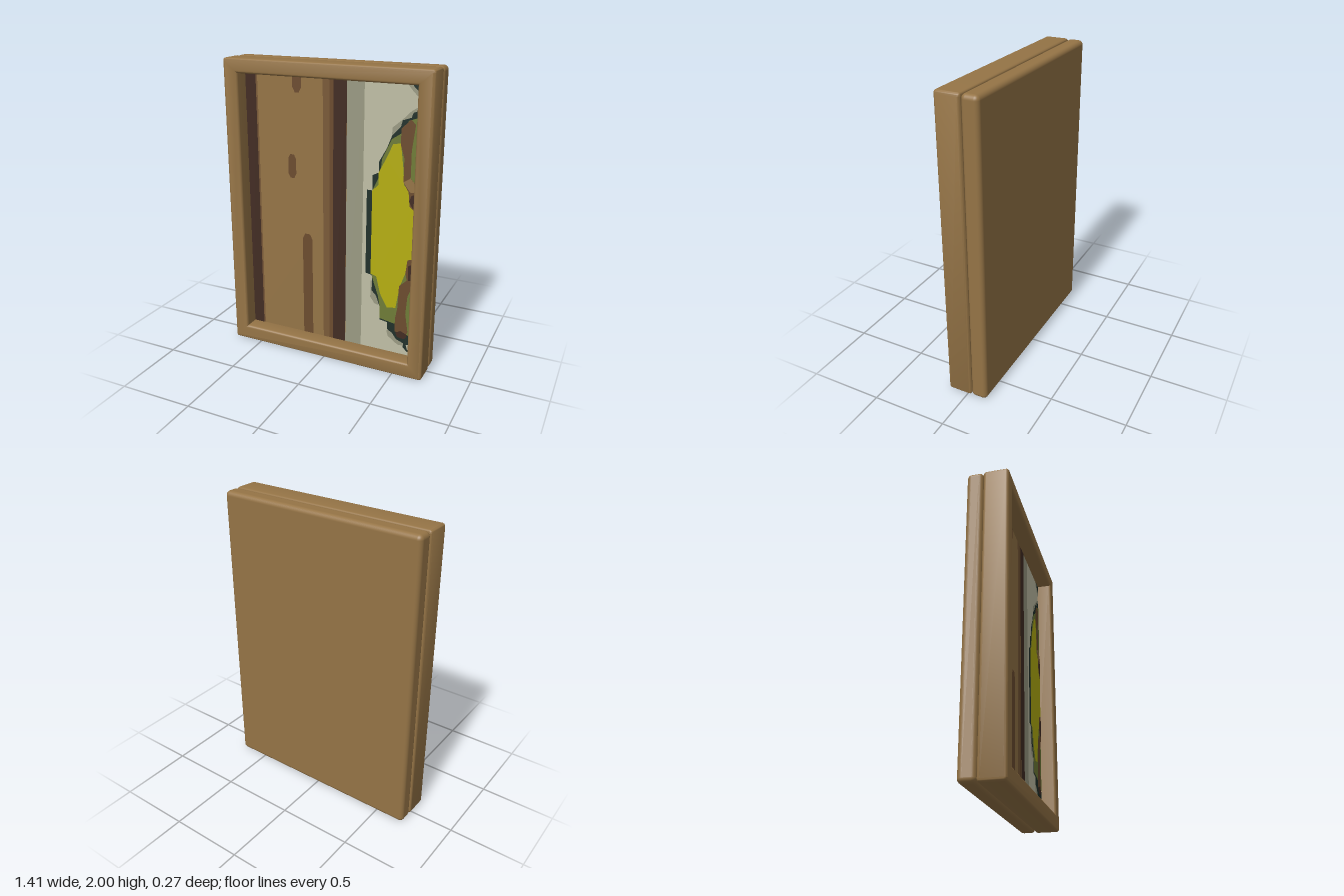
import * as THREE from 'three';
import { toCreasedNormals } from 'three/addons/utils/BufferGeometryUtils.js';
import { RoundedBoxGeometry } from 'three/addons/geometries/RoundedBoxGeometry.js';

const mat = (name, color) => {
  const m = new THREE.MeshStandardMaterial({ color });
  m.name = name;
  return m;
};

export function createModel() {
  const wood = mat('wood', 0x957446);
  const knotBrown = mat('knot brown', 0x6c4c2f);
  const midBrown = mat('mid brown', 0x7a5a38);
  const darkBrown = mat('dark brown', 0x422c23);
  const grey = mat('grey', 0x9a9a83);
  const pale = mat('pale cream', 0xc0bfa6);
  const darkGreen = mat('dark green', 0x20302a);
  const olive = mat('olive', 0x6f7c37);
  const yellow = mat('yellow', 0xb5ae10);

  const group = new THREE.Group();
  const add = (name, geometry, material, z = 0, y = 0) => {
    const mesh = new THREE.Mesh(geometry, material);
    mesh.name = name;
    mesh.position.set(0, y, z);
    group.add(mesh);
  };

  // Backing board with rounded edges
  add('backBoard', new RoundedBoxGeometry(1.41, 2, 0.11, 4, 0.03), wood, -0.082, 1);

  // Front frame with softened outer and inner edges
  const W = 0.705, R = 0.02, X = 0.603, Y0 = 0.105, Y1 = 1.905;
  const outline = new THREE.Shape();
  outline.absarc(W - R, R, R, -Math.PI / 2, 0);
  outline.absarc(W - R, 2 - R, R, 0, Math.PI / 2);
  outline.absarc(R - W, 2 - R, R, Math.PI / 2, Math.PI);
  outline.absarc(R - W, R, R, Math.PI, Math.PI * 1.5);
  const opening = [[-X, Y0], [-X, Y1], [X, Y1], [X, Y0]];
  outline.holes.push(new THREE.Path(opening.map(([x, y]) => new THREE.Vector2(x, y))));
  const B = 0.018;
  const frame = new THREE.ExtrudeGeometry(outline, {
    depth: 0.164 - 2 * B, bevelThickness: B, bevelSize: B, bevelOffset: -B, bevelSegments: 4, curveSegments: 4,
  });
  add('frame', toCreasedNormals(frame, 0.6), wood, -0.027 + B);

  // Recessed picture panel
  const face = 0.03;
  add('picturePanel', new THREE.BoxGeometry(1.22, 1.82, 0.06), wood, face - 0.03, 1.005);

  // Painted areas, outlined in hundredths of a unit
  const paint = (name, material, layer, points) => {
    const shape = new THREE.Shape(points.map(([x, y]) => new THREE.Vector2(x / 100, y / 100)));
    add(name, new THREE.ShapeGeometry(shape), material, face + layer * 0.0015);
  };
  const stripe = (name, material, x0, x1, layer = 1) =>
    paint(name, material, layer, [[x0, 10.4], [x1, 10.4], [x1, 190.6], [x0, 190.6]]);

  stripe('edgeShade', midBrown, -53, -51.5);
  stripe('leftBand', darkBrown, -60.4, -52.6, 2);
  stripe('plankShade', midBrown, -4.5, 0);
  stripe('plankDeepShade', knotBrown, 0, 3);
  stripe('middleBand', darkBrown, 2.8, 12, 2);
  stripe('greyBand', grey, 12, 23.6);
  stripe('creamField', pale, 23.6, 60.3);

  // Wood grain marks, chamfered at the ends
  const knot = (x, y0, y1, w, cut0, cut1) => paint('grainMark', knotBrown, 1, [
    [x - w + cut0, y0], [x + w - cut0, y0], [x + w, y0 + 2 * cut0], [x + w, y1 - 2 * cut1],
    [x + w - cut1, y1], [x - w + cut1, y1], [x - w, y1 - 2 * cut1], [x - w, y0 + 2 * cut0],
  ]);
  knot(-22.8, 179.5, 190.6, 3.2, 1.8, 0.6);
  knot(-27, 123, 139, 2.9, 1.5, 1.5);
  knot(-16.3, 10.4, 85, 3.6, 0, 1.8);

  // Soft shadows around the rounded motif
  paint('motifShadow', grey, 2, [[30, 60], [30, 48], [33, 44], [36, 43], [37, 60]]);
  paint('motifShadow', grey, 2, [[42, 26], [43, 22], [50, 17], [56, 17], [50, 30]]);
  paint('motifShadow', grey, 2, [[42, 156], [42, 163], [48, 168], [54, 174], [60.3, 178], [60.3, 170]]);
  paint('cornerShadow', grey, 2, [[50, 190.6], [54, 186], [57, 183], [60.3, 182], [60.3, 190.6]]);
  paint('cornerMark', darkGreen, 3, [[54, 190.6], [55, 188], [57.5, 186], [60.3, 185], [60.3, 190.6]]);

  // Stepped dark outline of the motif
  paint('motifOutline', darkGreen, 3, [
    [60.3, 11], [56, 14], [54, 16], [54, 19], [49, 21], [46, 25], [42.5, 27], [42.5, 32], [37, 33],
    [37, 42], [34, 50], [31, 53], [31, 64], [26.3, 65], [26.3, 122], [30, 122], [30, 132], [34, 134],
    [34, 141], [39, 150], [42, 158], [47.5, 164], [48.5, 168], [54, 170], [55, 173], [60.3, 175],
  ]);
  paint('lowerGap', pale, 4, [[60.3, 13], [57, 15], [56, 18], [60.3, 20]]);
  paint('motifRim', olive, 4, [
    [60.3, 27], [56, 25], [48.5, 32], [37, 34], [37, 42], [35.5, 50], [32, 60], [30, 66], [30, 122],
    [35, 133], [36, 143], [42, 156], [48, 160], [52.5, 168], [60.3, 171],
  ]);
  paint('motifCentre', yellow, 5, [
    [30, 65], [30, 122], [34, 126], [34, 134], [39, 144], [43, 153], [48, 154], [50, 139], [51, 128],
    [60.3, 122], [60.3, 80], [55, 78], [54, 70], [50.5, 60], [48, 44], [42, 43], [37, 52], [34, 64],
  ]);

  // Brown twigs at the right edge
  paint('upperTwig', knotBrown, 6, [
    [48, 163], [54, 169], [57, 166], [55, 150], [55, 133], [60.3, 127], [60.3, 110], [55, 115],
    [54, 124], [50.5, 130], [50.5, 145], [48, 153],
  ]);
  paint('upperTwigLight', wood, 7, [[50.5, 130], [55, 133], [60.3, 127], [60.3, 124], [55, 124]]);
  paint('upperTwigKnot', darkBrown, 7, [[56, 122], [60.3, 124], [60.3, 113], [57, 114], [54.5, 118]]);
  paint('lowerTwig', knotBrown, 6, [
    [60.3, 81], [55, 79], [54, 70], [55, 65], [50, 60], [49.5, 45], [48, 36], [48, 27], [54, 23],
    [57, 28], [55, 41], [56, 54], [60.3, 64],
  ]);
  paint('lowerTwigKnot', darkBrown, 7, [[55.5, 75], [60.3, 78], [60.3, 66], [56, 65]]);
  paint('twigFoot', darkBrown, 7, [[48.5, 26], [52, 28], [57, 26], [55, 22.5], [50, 23]]);

  return group;
}
